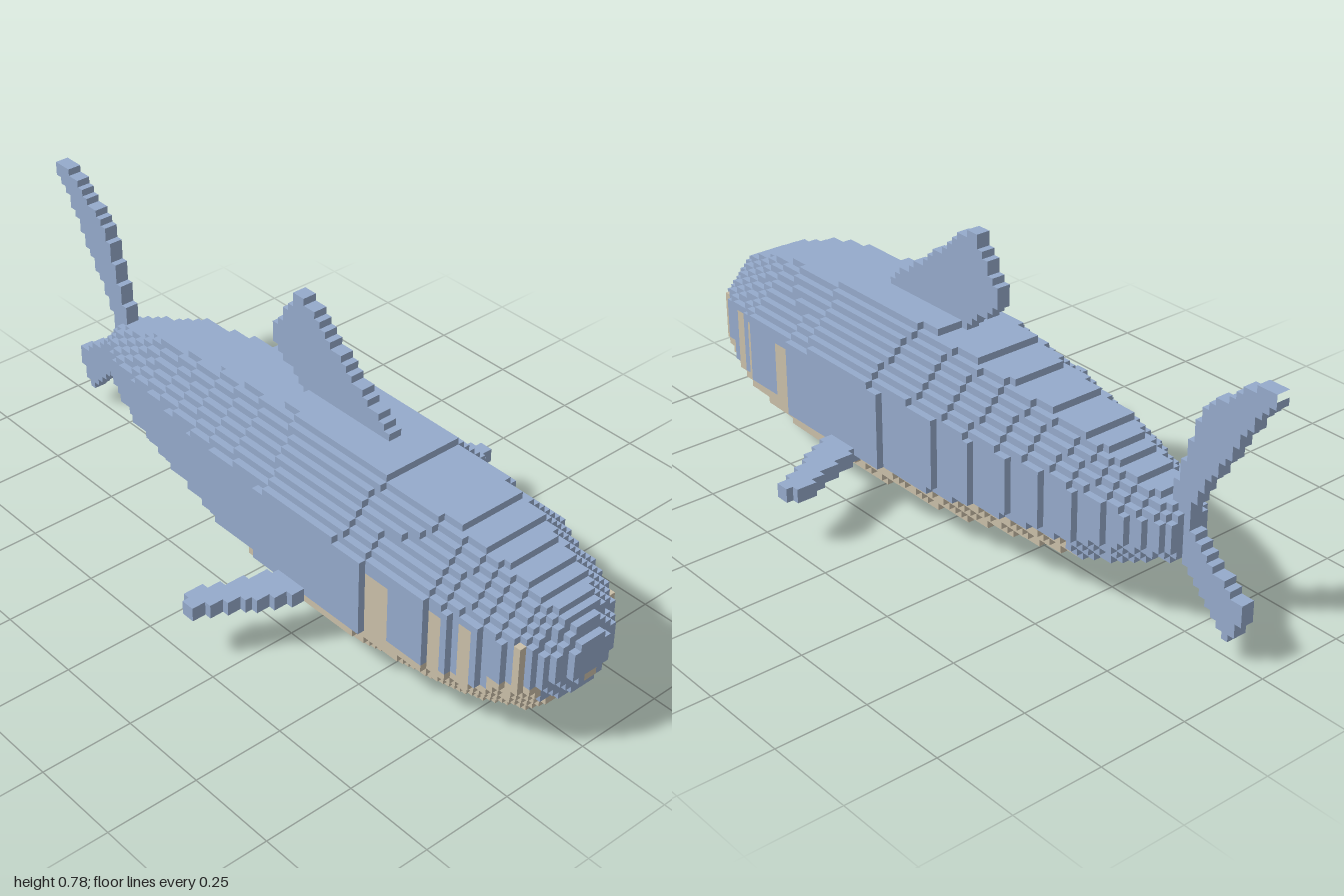
import * as THREE from 'three';

const V = 2 / 103; // cube size

// Body stations from nose to tail: z, half width, bottom, top
const STATIONS = [
  [1, 0.04, 0.235, 0.31], [0.98, 0.08, 0.19, 0.35], [0.96, 0.1, 0.165, 0.375],
  [0.93, 0.135, 0.13, 0.4], [0.9, 0.155, 0.1, 0.42], [0.84, 0.18, 0.07, 0.445],
  [0.76, 0.2, 0.04, 0.475], [0.68, 0.225, 0.025, 0.495], [0.6, 0.235, 0.015, 0.505],
  [0.5, 0.237, 0, 0.508], [0.47, 0.252, 0, 0.51], [0.35, 0.252, 0, 0.528],
  [0.22, 0.252, 0.01, 0.528], [0.05, 0.238, 0.02, 0.515], [-0.07, 0.225, 0.03, 0.5],
  [-0.16, 0.21, 0.05, 0.485], [-0.27, 0.195, 0.07, 0.468], [-0.36, 0.175, 0.078, 0.455],
  [-0.47, 0.155, 0.1, 0.44], [-0.53, 0.14, 0.12, 0.417], [-0.61, 0.12, 0.15, 0.385],
  [-0.68, 0.095, 0.185, 0.36], [-0.75, 0.06, 0.215, 0.335],
];

// Fin outlines; upright fins are (z, y), the side fin is (x, z)
const DORSAL = [[0.35, 0.5], [0.35, 0.53], [0.18, 0.655], [0.01, 0.785], [-0.01, 0.785], [-0.02, 0.73],
  [-0.09, 0.655], [-0.09, 0.62], [-0.05, 0.575], [0, 0.55], [0.05, 0.5]];
const TAIL_UPPER = [[-0.68, 0.28], [-0.705, 0.34], [-0.725, 0.44], [-0.77, 0.545], [-0.785, 0.62], [-0.85, 0.66],
  [-0.9, 0.705], [-0.96, 0.745], [-1.01, 0.745], [-1.01, 0.72], [-0.97, 0.685], [-0.91, 0.59],
  [-0.83, 0.465], [-0.78, 0.375], [-0.755, 0.3]];
const TAIL_LOWER = [[-0.7, 0.31], [-0.76, 0.31], [-0.82, 0.245], [-0.94, 0.16], [-0.94, 0.12], [-0.89, 0.05],
  [-0.81, 0.14], [-0.76, 0.2], [-0.7, 0.25]];
const PECTORAL = [[0.2, 0.21], [0.25, 0.2], [0.33, 0.175], [0.385, 0.16], [0.43, 0.14], [0.45, 0.12], [0.475, 0.125],
  [0.51, 0.155], [0.51, 0.175], [0.455, 0.2], [0.39, 0.235], [0.33, 0.27], [0.25, 0.315], [0.2, 0.32]];

function inPolygon(px, py, pts) {
  let inside = false;
  for (let i = 0, j = pts.length - 1; i < pts.length; j = i++) {
    const [xi, yi] = pts[i], [xj, yj] = pts[j];
    if ((yi > py) !== (yj > py) && px < ((xj - xi) * (py - yi)) / (yj - yi) + xi) inside = !inside;
  }
  return inside;
}

// Octagonal cross-section interpolated along the stations
function inBody(x, y, z) {
  const n = STATIONS.findIndex((s) => s[0] <= z);
  if (n < 1) return false;
  const p = STATIONS[n - 1], q = STATIONS[n];
  const t = (p[0] - z) / (p[0] - q[0]);
  const [a, lo, hi] = [1, 2, 3].map((c) => p[c] + (q[c] - p[c]) * t);
  const u = Math.abs(x) / a, v = Math.abs(y - (lo + hi) / 2) / ((hi - lo) / 2);
  return u <= 1 && v <= 1 && u + v <= 1.42;
}

// Pale underside, gill bars and mouth
const GILLS = [[0.9, 0.93], [0.765, 0.8], [0.69, 0.73], [0.5, 0.57]];
function isPale(x, y, z) {
  const ax = Math.abs(x);
  if (z > 0.96) return ax < 0.02 && y > 0.213 && y < 0.233;
  if (z < -0.46) return false;
  if (y < 0.33 && ax > 0.13 && GILLS.some(([a, b]) => z > a && z < b)) return true;
  if (z > 0.85) return y < (ax > 0.1 ? 0.215 : 0.16);
  if (z > 0.5 || z < -0.17) return y < 0.18;
  return y < 0.16;
}

// Exposed cube faces of a solid, limited to the cubes chosen by pick
function cubes(name, solid, material, pick = () => true) {
  const pos = [], nor = [], idx = [];
  const at = (i, j, k) => [(i + 0.5) * V, (j + 0.5) * V, k * V];
  for (let i = -27; i < 27; i++) for (let j = 0; j < 41; j++) for (let k = -51; k <= 51; k++) {
    const c = at(i, j, k);
    if (!solid(...c) || !pick(...c)) continue;
    for (let axis = 0; axis < 3; axis++) for (const s of [-1, 1]) {
      const n = [0, 0, 0];
      n[axis] = s;
      if (solid(...at(i + n[0], j + n[1], k + n[2]))) continue;
      const b = pos.length / 3;
      for (const [u, v] of [[-1, -1], [1, -1], [1, 1], [-1, 1]]) {
        const p = [...c];
        p[axis] += (s * V) / 2;
        p[(axis + 1) % 3] += (u * V) / 2;
        p[(axis + 2) % 3] += (s * v * V) / 2;
        pos.push(...p);
        nor.push(...n);
      }
      idx.push(b, b + 1, b + 2, b, b + 2, b + 3);
    }
  }
  const g = new THREE.BufferGeometry();
  g.setAttribute('position', new THREE.Float32BufferAttribute(pos, 3));
  g.setAttribute('normal', new THREE.Float32BufferAttribute(nor, 3));
  g.setIndex(idx);
  const mesh = new THREE.Mesh(g, material);
  mesh.name = name;
  return mesh;
}

export function createModel() {
  const blue = new THREE.MeshStandardMaterial({ color: 0x95aacb });
  blue.name = 'skin blue';
  const sand = new THREE.MeshStandardMaterial({ color: 0xcabfa9 });
  sand.name = 'belly sand';
  const group = new THREE.Group();
  group.name = 'shark';

  // Body in two colours
  group.add(cubes('back', inBody, blue, (x, y, z) => !isPale(x, y, z)));
  group.add(cubes('belly', inBody, sand, isPale));

  // Upright fins, two cubes thick
  const upright = (pts) => (x, y, z) => Math.abs(x) < V && inPolygon(z, y, pts);
  group.add(cubes('dorsalFin', upright(DORSAL), blue));
  const upper = upright(TAIL_UPPER), lower = upright(TAIL_LOWER);
  group.add(cubes('tailFin', (...p) => upper(...p) || lower(...p), blue));

  // Side fins, mirrored
  for (const [name, s] of [['leftPectoralFin', 1], ['rightPectoralFin', -1]]) {
    group.add(cubes(name, (x, y, z) => y > 7 * V && y < 9 * V && inPolygon(s * x, z, PECTORAL), blue));
  }
  return group;
}
